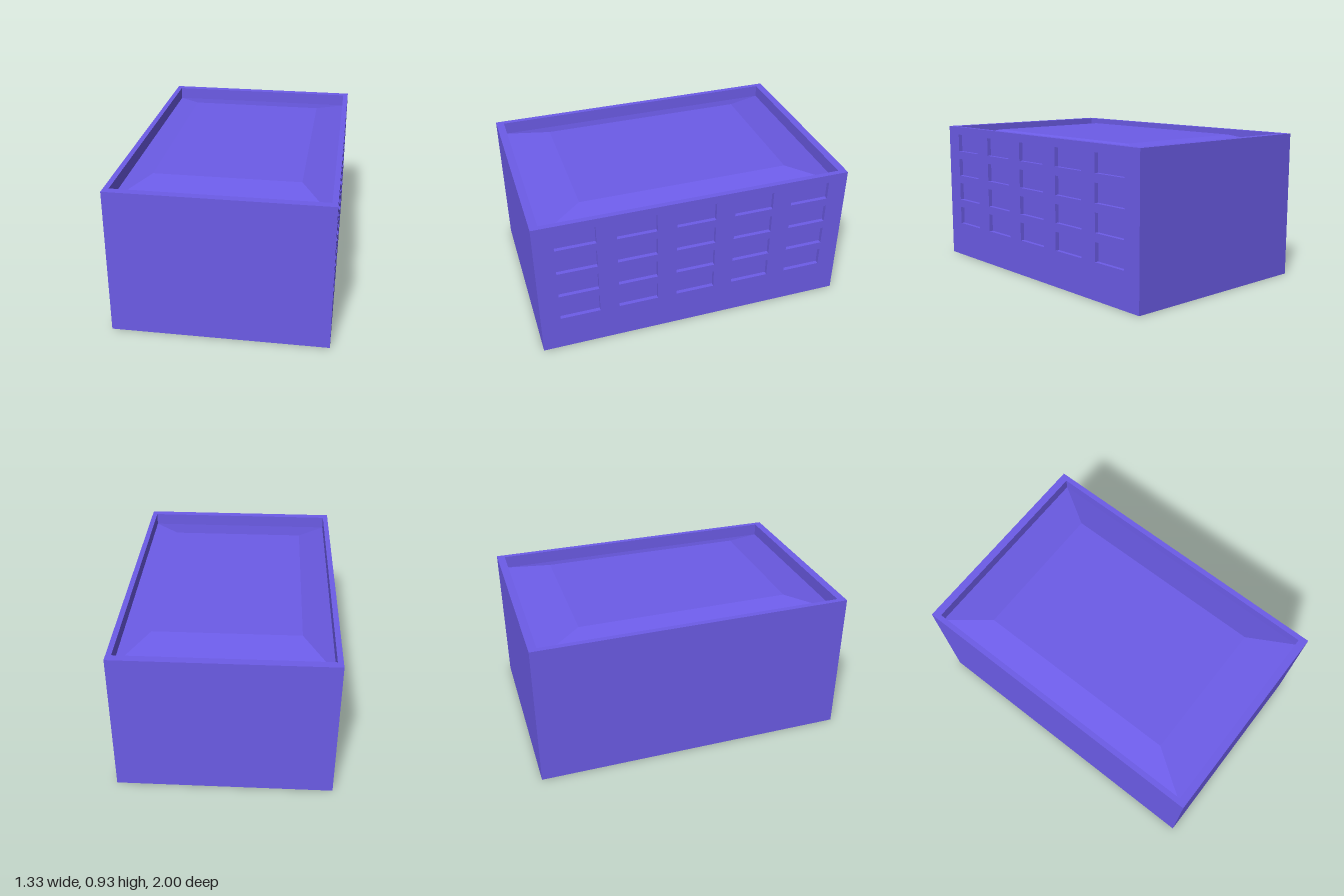
import * as THREE from 'three';

const W = 1.333, H = 0.93, D = 2;        // outer size
const INNER_W = 1.266, INNER_D = 1.9;    // space inside the parapet
const ROOF_Y = 0.85, ROOF_TOP = 0.914;   // eaves and flat top of the roof
const RECESS = 0.026;                    // window depth

const material = new THREE.MeshStandardMaterial({ color: 0x6c5ce7, flatShading: true });

function part(name, geometry) {
  const mesh = new THREE.Mesh(geometry, material);
  mesh.name = name;
  return mesh;
}

// Adds a rectangle to a Shape or Path
function rect(path, x0, y0, x1, y1) {
  path.moveTo(x0, y0);
  path.lineTo(x1, y0);
  path.lineTo(x1, y1);
  path.lineTo(x0, y1);
  path.closePath();
  return path;
}

export function createModel() {
  const building = new THREE.Group();
  building.name = 'building';

  // Outer walls, rising above the roof as a parapet
  const ring = rect(new THREE.Shape(), -W / 2, -D / 2, W / 2 - RECESS, D / 2);
  ring.holes.push(rect(new THREE.Path(), -INNER_W / 2, -INNER_D / 2, INNER_W / 2, INNER_D / 2));
  const walls = new THREE.ExtrudeGeometry(ring, { depth: H, bevelEnabled: false });
  walls.rotateX(-Math.PI / 2);
  building.add(part('walls', walls));

  // Facade layer with a 5 x 4 grid of window openings
  const front = rect(new THREE.Shape(), -D / 2, 0, D / 2, H);
  for (let row = 0; row < 4; row++) {
    for (let col = -2; col <= 2; col++) {
      const z = col * 0.375, y = 0.293 + row * 0.1745;
      front.holes.push(rect(new THREE.Path(), z - 0.126, y - 0.06, z + 0.126, y + 0.06));
    }
  }
  const facade = new THREE.ExtrudeGeometry(front, { depth: RECESS, bevelEnabled: false });
  facade.rotateY(Math.PI / 2);
  facade.translate(W / 2 - RECESS, 0, 0);
  building.add(part('windowFacade', facade));

  // Solid body under the roof
  const core = new THREE.BoxGeometry(INNER_W, ROOF_Y, INNER_D);
  core.translate(0, ROOF_Y / 2, 0);
  building.add(part('core', core));

  // Shallow hipped roof with a flat top
  const rise = ROOF_TOP - ROOF_Y;
  const roof = new THREE.BoxGeometry(INNER_W, rise, INNER_D);
  const pos = roof.attributes.position;
  for (let i = 0; i < pos.count; i++) {
    if (pos.getY(i) > 0) {
      pos.setX(i, Math.sign(pos.getX(i)) * 0.447);
      pos.setZ(i, Math.sign(pos.getZ(i)) * 0.668);
    }
  }
  roof.computeVertexNormals();
  roof.translate(0, ROOF_Y + rise / 2, 0);
  building.add(part('roof', roof));

  return building;
}
